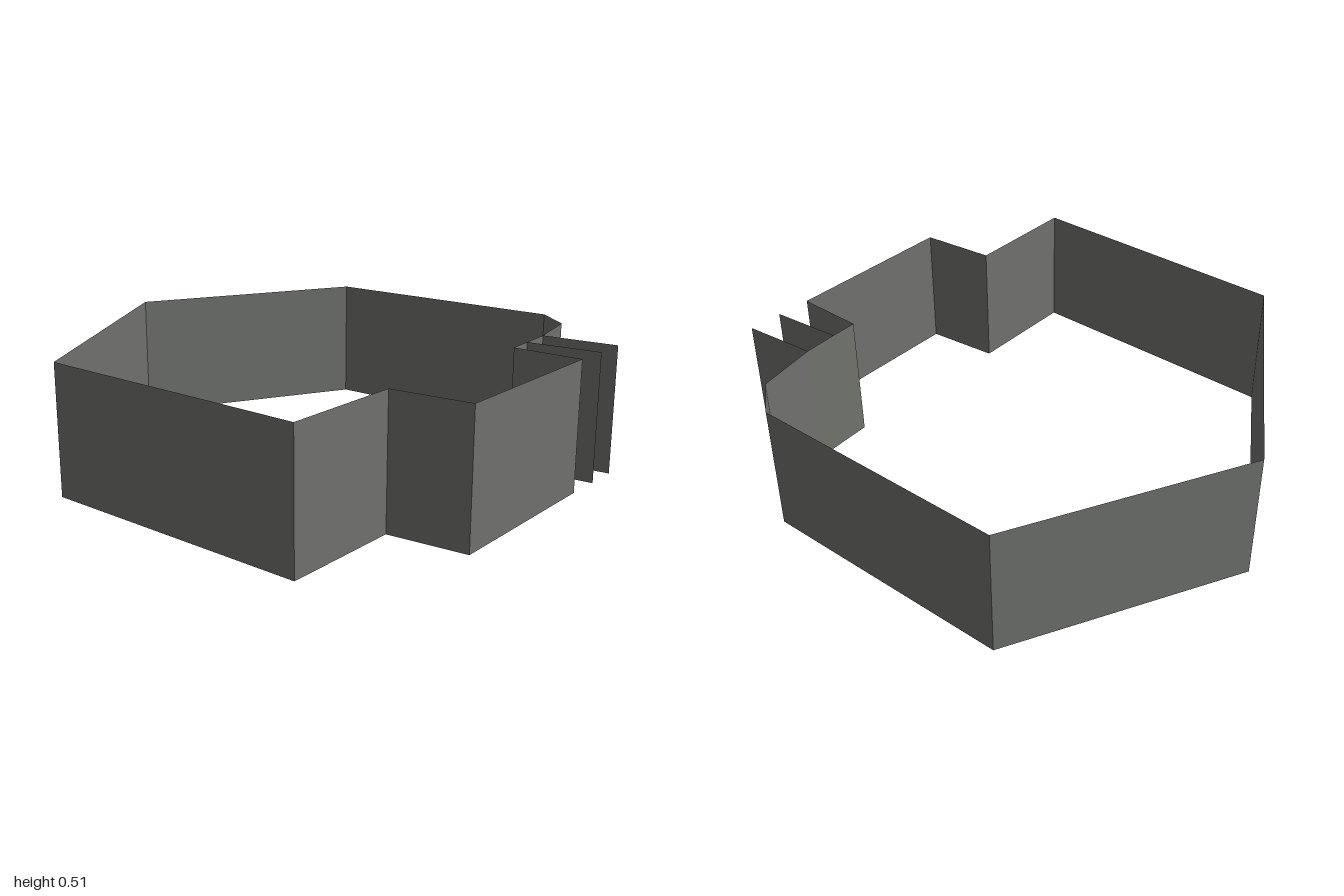
import * as THREE from 'three';

const HEIGHT = 0.508;

// Plan corners of the closed wall as [x, z], running left to right along the front
const OUTLINE = [
  [-0.44, 0.905], [0.685, 0.93], [0.685, 0.45], [0.995, 0.423],
  [0.993, -0.31], [0.713, -0.315], [0.708, -0.425], [0.7, -0.565],
  [0.65, -0.815], [0.51, -0.93], [-0.535, -0.925], [-1, -0.06],
];

// Free-standing fins that project from the right side
const FINS = [
  [[0.708, -0.425], [1, -0.45]],
  [[0.7, -0.565], [1, -0.59]],
];

export function createModel() {
  const model = new THREE.Group();
  model.name = 'perimeterWall';

  const wallGrey = new THREE.MeshStandardMaterial({ color: 0x70726e, side: THREE.DoubleSide });
  wallGrey.name = 'wall grey';

  // Upright sheet between two plan points, facing right of the travel direction
  function panel(name, [x0, z0], [x1, z1]) {
    const geometry = new THREE.PlaneGeometry(Math.hypot(x1 - x0, z1 - z0), HEIGHT);
    const mesh = new THREE.Mesh(geometry, wallGrey);
    mesh.name = name;
    mesh.position.set((x0 + x1) / 2, HEIGHT / 2, (z0 + z1) / 2);
    mesh.rotation.y = Math.atan2(z0 - z1, x1 - x0);
    return mesh;
  }

  // Outer wall loop
  const wall = new THREE.Group();
  wall.name = 'outerWall';
  OUTLINE.forEach((p, i) => {
    wall.add(panel(`wallPanel${i + 1}`, p, OUTLINE[(i + 1) % OUTLINE.length]));
  });
  model.add(wall);

  // Fins
  const fins = new THREE.Group();
  fins.name = 'sideFins';
  FINS.forEach(([a, b], i) => fins.add(panel(`fin${i + 1}`, a, b)));
  model.add(fins);

  return model;
}
